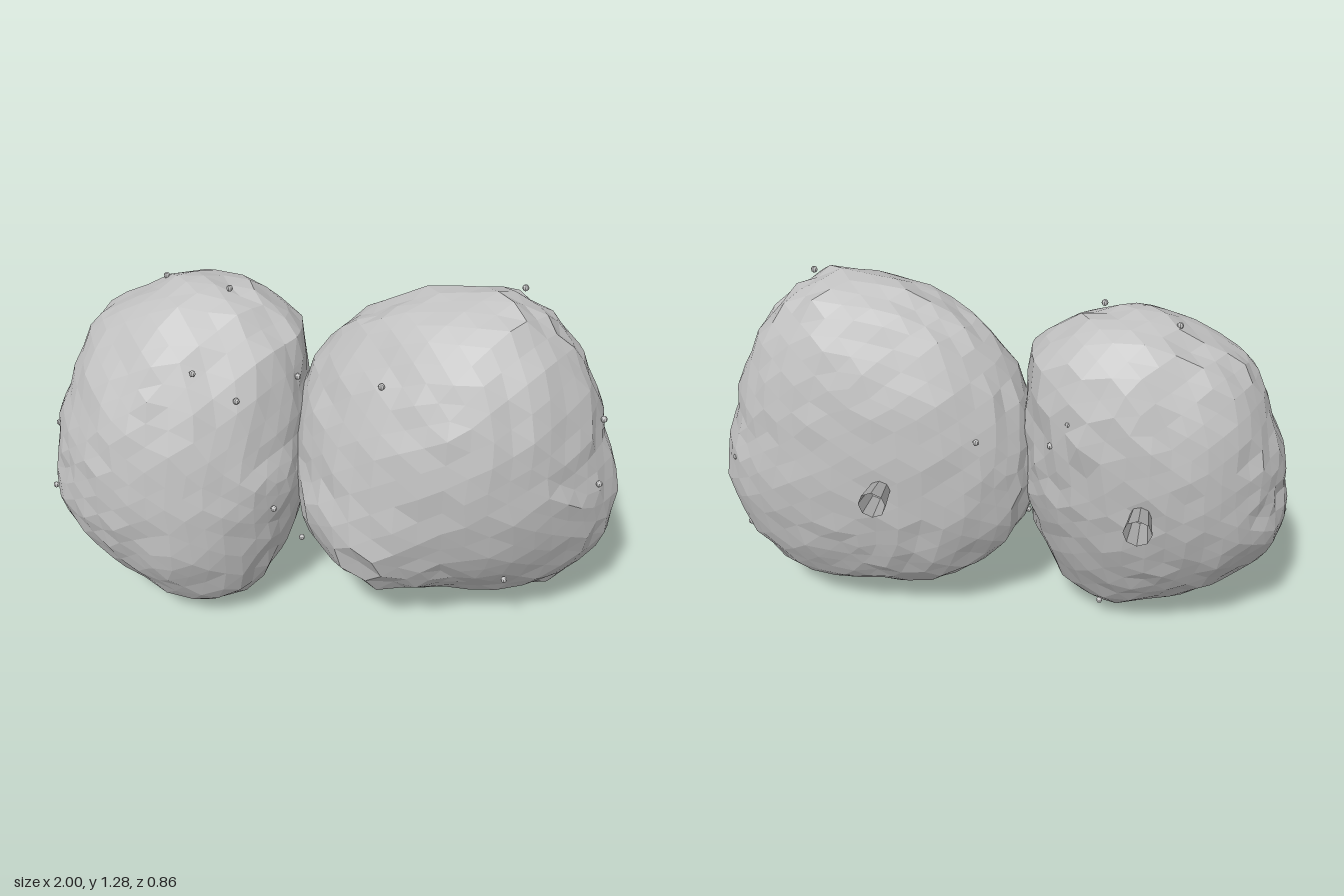
import * as THREE from 'three';

const rock = new THREE.MeshStandardMaterial({ color: 0xc0c0c0, flatShading: true });
rock.name = 'grey rock';
const metal = new THREE.MeshStandardMaterial({ color: 0xa6a6a6, flatShading: true, side: THREE.DoubleSide });
metal.name = 'grey metal';

// Each boulder: front outline (x, y), a tilted mid-plane, [depth, power] of the bulge per side,
// and a swell that thickens or thins the front by quadrant
const LOBES = [
  {
    name: 'rightBoulder', center: [-0.53, 0.6], midZ: 0.045, tilt: -0.13,
    front: [0.375, 1], back: [0.372, 0.9], seed: 1.3,
    swell: (dx, dy) => -0.5 * Math.max(dx, 0) * Math.max(dy, 0),
    outline: [[-0.1, 1.05], [-0.26, 1.17], [-0.47, 1.21], [-0.64, 1.14], [-0.81, 1.04], [-0.9, 0.85],
      [-0.97, 0.6], [-0.985, 0.41], [-0.92, 0.29], [-0.78, 0.16], [-0.58, 0.055], [-0.47, 0.01],
      [-0.36, 0.01], [-0.23, 0.09], [-0.15, 0.24], [-0.09, 0.42], [-0.07, 0.7], [-0.09, 0.9]],
  },
  {
    name: 'leftBoulder', center: [0.45, 0.65], midZ: -0.03, tilt: 0.03,
    front: [0.39, 1.1], back: [0.31, 0.8], seed: 4.7,
    swell: (dx, dy) => -0.06 * dx + 0.6 * Math.min(dx * dy, 0)
      + 0.3 * Math.max(dx, 0) * Math.max(dy, 0) + 1.6 * Math.min(dx, 0) * Math.min(dy, 0),
    outline: [[0.995, 0.58], [0.93, 0.77], [0.88, 0.96], [0.75, 1.15], [0.61, 1.25], [0.46, 1.25],
      [0.22, 1.19], [0.06, 1.09], [-0.06, 0.94], [-0.13, 0.66], [-0.11, 0.45], [0.01, 0.26],
      [0.2, 0.13], [0.44, 0.11], [0.62, 0.1], [0.81, 0.15], [0.93, 0.29], [0.98, 0.4]],
  },
];

// Radius of an outline at a given angle, interpolated between its points
function radiusFunction({ outline, center }) {
  const pts = outline.map(([x, y]) => {
    const dx = x - center[0], dy = y - center[1];
    return [Math.atan2(dy, dx), Math.hypot(dx, dy)];
  }).sort((a, b) => a[0] - b[0]);
  const first = pts[0], last = pts[pts.length - 1];
  pts.unshift([last[0] - 2 * Math.PI, last[1]]);
  pts.push([first[0] + 2 * Math.PI, first[1]]);
  return (angle) => {
    const i = pts.findIndex((p) => p[0] >= angle);
    const [a, b] = [pts[i - 1], pts[i]];
    return a[1] + (b[1] - a[1]) * (angle - a[0]) / (b[0] - a[0]);
  };
}

// Facet-scale roughness on the unit sphere
const rough = (d, s) =>
  0.01 * Math.sin(19 * d.x + 7 * d.y + s) * Math.sin(17 * d.y - 9 * d.z + 2 * s) +
  0.016 * Math.sin(31 * d.z + 23 * d.x + 3 * s) * Math.sin(29 * d.y + 13 * d.x + s);

function boulder(lobe) {
  const geo = new THREE.IcosahedronGeometry(1, 7);
  const pos = geo.attributes.position;
  const radius = radiusFunction(lobe);
  const d = new THREE.Vector3();
  for (let i = 0; i < pos.count; i++) {
    d.fromBufferAttribute(pos, i);
    const k = 1 + rough(d, lobe.seed);
    const r = radius(Math.atan2(d.y, d.x)) * k;
    const dx = r * d.x, dy = r * d.y;
    const [depth, power] = d.z > 0 ? lobe.front : lobe.back;
    const swell = d.z > 0 ? lobe.swell(dx, dy) : 0;
    const bulge = Math.sign(d.z) * Math.pow(Math.abs(d.z), power);
    pos.setXYZ(i, lobe.center[0] + dx, lobe.center[1] + dy,
      lobe.midZ + lobe.tilt * dy + (depth + swell) * bulge * k);
  }
  geo.computeVertexNormals();
  const mesh = new THREE.Mesh(geo, rock);
  mesh.name = lobe.name;
  return mesh;
}

export function createModel() {
  const model = new THREE.Group();
  model.name = 'twinBoulders';
  for (const lobe of LOBES) model.add(boulder(lobe));

  // Open nozzles on the back, flaring outwards
  const nozzleGeo = new THREE.CylinderGeometry(0.047, 0.03, 0.14, 8, 1, true).rotateX(-Math.PI / 2);
  for (const [name, x] of [['rightNozzle', -0.51], ['leftNozzle', 0.355]]) {
    const nozzle = new THREE.Mesh(nozzleGeo, metal);
    nozzle.name = name;
    nozzle.position.set(x, 0.62, -0.36);
    model.add(nozzle);
  }

  // Small pebbles hovering near the surface
  const pebbleSpots = [
    [-0.58, 1.18, -0.07], [-0.33, 1.2, 0.02], [-0.39, 1.005, 0.265], [-0.25, 0.915, 0.255],
    [-0.09, 0.925, 0.07], [-0.06, 0.73, 0.11], [-0.93, 0.69, 0.17], [-0.99, 0.4, 0.15],
    [-0.13, 0.515, 0.27], [-0.07, 0.3, 0.13], [0.22, 1.01, 0.22], [0.625, 1.27, -0.05],
    [0.92, 0.86, 0.01], [0.93, 0.68, 0.12], [0.66, 0.31, 0.22], [0.91, 0.615, -0.21],
    [0.92, 0.53, -0.2], [0.97, 0.385, -0.08], [0.9, 0.325, -0.175], [-0.37, 0.085, -0.09],
    [0.04, 0.8, -0.27], [-0.26, 0.9, -0.27], [-0.2, 0.8, -0.245],
  ];
  const pebbleGeo = new THREE.SphereGeometry(0.011, 8, 6);
  const pebbles = new THREE.Group();
  pebbles.name = 'pebbles';
  for (const spot of pebbleSpots) {
    const pebble = new THREE.Mesh(pebbleGeo, rock);
    pebble.name = 'pebble';
    pebble.position.set(...spot);
    pebbles.add(pebble);
  }
  model.add(pebbles);
  return model;
}
